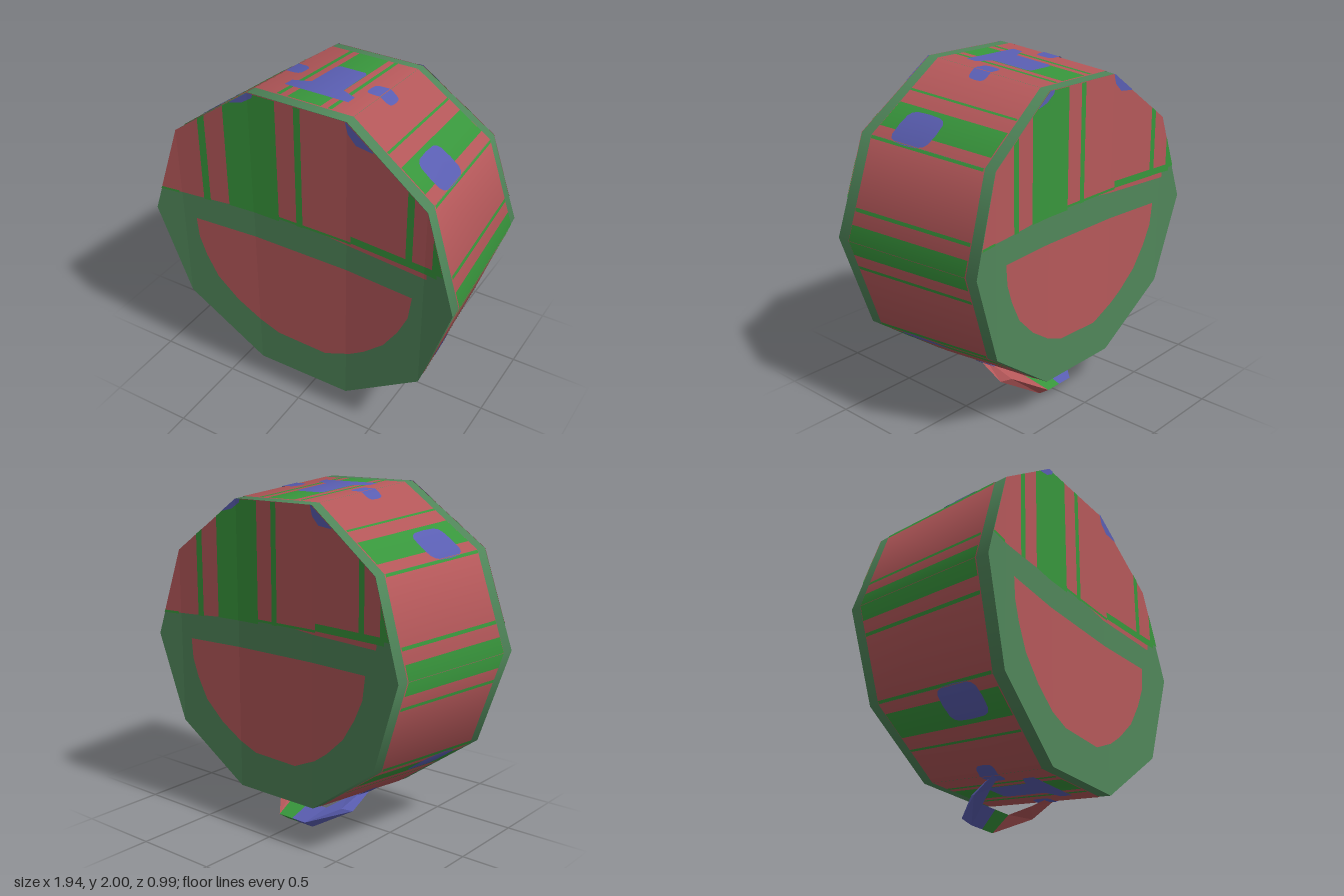
import * as THREE from 'three';
import { mergeGeometries } from 'three/addons/utils/BufferGeometryUtils.js';

const mat = (name, color) => Object.assign(new THREE.MeshStandardMaterial({ color, side: THREE.DoubleSide }), { name });
const R = 0.97, CY = 1.08, TAPER = 0.92, STEP = 0.0025;

// Keep the part of a polygon where f(p) >= 0
function clip(poly, f) {
  const out = [];
  poly.forEach((p, i) => {
    const q = poly[(i + 1) % poly.length], a = f(p), b = f(q);
    if (a >= 0) out.push(p);
    if ((a > 0 && b < 0) || (a < 0 && b > 0)) {
      const t = a / (a - b);
      out.push([p[0] + (q[0] - p[0]) * t, p[1] + (q[1] - p[1]) * t]);
    }
  });
  return out;
}
function flat(poly) {
  if (poly.length < 3) return null;
  const pts = poly.map((p) => new THREE.Vector2(p[0], p[1]));
  if (Math.abs(THREE.ShapeUtils.area(pts)) < 1e-6) return null;
  return new THREE.ShapeGeometry(new THREE.Shape(pts));
}
const rect = (x0, y0, x1, y1) => [[x0, y0], [x1, y0], [x1, y1], [x0, y1]];
const oval = (x0, y0, x1, y1) => Array.from({ length: 16 }, (_, i) => {
  const a = (i / 16) * Math.PI * 2, sq = (v) => Math.sign(v) * Math.sqrt(Math.abs(v));
  return [(x0 + x1) / 2 + ((x1 - x0) / 2) * sq(Math.cos(a)), (y0 + y1) / 2 + ((y1 - y0) / 2) * sq(Math.sin(a))];
});
const corner = (k) => [R * Math.cos((k * Math.PI) / 5), R * Math.sin((k * Math.PI) / 5)];

// The end faces are bent forward towards their left and right corners
const bends = [-0.98, corner(4)[0], corner(3)[0], corner(2)[0], corner(1)[0], 0.98];
function bendZ(x) {
  const a = Math.abs(x), b1 = corner(2)[0], b2 = corner(1)[0];
  if (a <= b1) return 0.435;
  if (a <= b2) return 0.435 + (0.033 * (a - b1)) / (b2 - b1);
  return 0.468 + (0.025 * (a - b2)) / (R - b2);
}

// Polygons in x, y laid onto an end face and trimmed to its ten sides
function capGeometry(polys, level) {
  const parts = [];
  for (const poly of polys) {
    let trimmed = poly;
    for (let k = 0; k < 10; k++) {
      const a = ((k + 0.5) * Math.PI) / 5;
      trimmed = clip(trimmed, (p) => R * Math.cos(Math.PI / 10) - p[0] * Math.cos(a) - (p[1] - CY) * Math.sin(a));
    }
    for (let s = 0; s < 5; s++) {
      const g = flat(clip(clip(trimmed, (p) => p[0] - bends[s]), (p) => bends[s + 1] - p[0]));
      if (!g) continue;
      const pos = g.attributes.position;
      for (let i = 0; i < pos.count; i++) pos.setXYZ(i, pos.getX(i), pos.getY(i) - CY, bendZ(pos.getX(i)) + level * STEP);
      g.computeVertexNormals();
      parts.push(g);
    }
  }
  return mergeGeometries(parts);
}

// Polygons in t (front to back) and u (side number) laid onto the tapered wall
function wallGeometry(polys, level) {
  const parts = [];
  for (const poly of polys) for (let k = -5; k < 5; k++) {
    const g = flat(clip(clip(poly, (p) => p[1] - k), (p) => k + 1 - p[1]));
    if (!g) continue;
    const pos = g.attributes.position, nor = g.attributes.normal, a = corner(k), b = corner(k + 1);
    const mid = ((k + 0.5) * Math.PI) / 5;
    for (let i = 0; i < pos.count; i++) {
      const t = pos.getX(i), u = pos.getY(i), f = u - k, s = 1 + (TAPER - 1) * t;
      const z = (bendZ(a[0]) * (1 - f) + bendZ(b[0]) * f) * (1 - 2 * t);
      const x = (a[0] + (b[0] - a[0]) * f) * s, y = (a[1] + (b[1] - a[1]) * f) * s;
      pos.setXYZ(i, x + Math.cos(mid) * level * STEP, y + CY + Math.sin(mid) * level * STEP, z);
      const n = new THREE.Vector3(Math.cos((u * Math.PI) / 5), Math.sin((u * Math.PI) / 5), -0.08).normalize();
      nor.setXYZ(i, n.x, n.y, n.z);
    }
    parts.push(g);
  }
  return mergeGeometries(parts);
}

// Repeat a quarter of the wall pattern around all four quarters
const quarters = (polys) => polys.flatMap((poly) =>
  [(u) => u, (u) => 5 - u, (u) => -u, (u) => u - 5].map((m) => poly.map((p) => [p[0], m(p[1])])));

export function createModel() {
  const red = mat('red', 0xb5585a), green = mat('green', 0x38963c);
  const sage = mat('sageGreen', 0x50865a), blue = mat('blue', 0x5a5eb2);
  const model = new THREE.Group();
  model.name = 'drum';
  const add = (parent, name, geometry, material) => {
    const m = new THREE.Mesh(geometry, material);
    m.name = name;
    parent.add(m);
  };

  // Wall with border, stripes and patches
  const wall = new THREE.Group();
  wall.name = 'wall';
  model.add(wall);
  const stripes = [[0, 0.155], [0.283, 0.318], [0.97, 1.0], [1.12, 1.42], [1.57, 1.595], [2.22, 2.26], [2.33, 2.5]];
  add(wall, 'wallBase', wallGeometry([rect(0, -5, 1, 5)], 0), sage);
  add(wall, 'wallField', wallGeometry([rect(0.08, -5, 0.93, 5)], 1), red);
  add(wall, 'wallStripes', wallGeometry(quarters(stripes.map(([a, b]) => rect(0.085, a, 0.925, b))), 2), green);
  add(wall, 'wallPatches', wallGeometry(quarters([
    [[0.22, 2.5], [0.22, 2.17], [0.3, 2.17], [0.35, 2.33], [0.63, 2.33], [0.66, 2.36], [0.66, 2.5]],
    oval(0.4, 1.87, 0.54, 2.15),
    oval(0.21, 0.99, 0.5, 1.37),
  ]), 3), blue);

  // End faces: the back one is the front one turned round and a little smaller
  const half = [[-0.7, 1.08], [-0.69, 0.95], [-0.65, 0.83], [-0.58, 0.69], [-0.45, 0.56], [-0.3, 0.46], [-0.17, 0.41],
    [0.16, 0.4], [0.32, 0.47], [0.42, 0.54], [0.55, 0.66], [0.64, 0.8], [0.7, 0.93], [0.72, 1.08]];
  const upper = [[-1, 1.23], [-0.7, 1.24], [-0.5, 1.25], [-0.3, 1.27], [0.1, 1.27], [0.3, 1.25], [0.8, 1.24], [0.8, 1.32], [1, 1.32], [1, 2.1], [-1, 2.1]];
  const capStripes = [rect(-0.63, 1.24, -0.585, 2), rect(-0.46, 1.25, -0.13, 2), rect(-0.015, 1.26, 0.025, 2), rect(0.67, 1.3, 0.71, 2),
    rect(0.83, 1.3, 1, 2), rect(0.33, 1.275, 0.86, 1.32), rect(-0.95, 1.23, -0.8, 1.245), rect(-0.15, 1.265, 0.33, 1.28)];
  const capBlue = [[[-0.41, 1.92], [-0.33, 1.94], [-0.27, 1.98], [-0.26, 2.01], [-0.41, 2.01]],
    [[0.29, 2.01], [0.31, 1.94], [0.36, 1.89], [0.46, 1.88], [0.46, 2.01]]];
  const front = new THREE.Group();
  front.name = 'frontFace';
  front.position.y = CY;
  add(front, 'faceBase', capGeometry([rect(-1, 0, 1, 2.1)], 0), sage);
  add(front, 'upperField', capGeometry([upper], 1), red);
  add(front, 'lowerHalfDisc', capGeometry([half], 1), red);
  add(front, 'faceStripes', capGeometry(capStripes, 2), green);
  add(front, 'facePatches', capGeometry(capBlue, 3), blue);
  const back = front.clone();
  back.name = 'backFace';
  back.rotation.y = Math.PI;
  back.scale.set(TAPER, TAPER, 1);
  model.add(front, back);

  // Slanted handle below: triangular sections of outer, back and inner edge
  const side = [
    [[0.3, 0.185, 0.05], [0.27, 0.2, 0.06], [0.24, 0.19, 0.05]],
    [[0.285, 0.1, -0.08], [0.24, 0.12, -0.13], [0.2, 0.15, -0.03]],
    [[0.1, 0, -0.23], [0.1, 0.05, -0.3], [0.13, 0.1, -0.14]],
  ];
  const flip = (s) => s.map(([x, y, z]) => [-x, y, z]);
  const middle = side[2].map(([, y, z]) => [0, y, z]);
  const stations = [...side.map(flip), middle, ...side.slice().reverse()];
  const handle = new THREE.Group();
  handle.name = 'handle';
  model.add(handle);
  [blue, blue, blue, green, red, red].forEach((material, i) => {
    const v = [], p = stations[i], q = stations[i + 1];
    for (let j = 0; j < 3; j++) {
      const n = (j + 1) % 3;
      v.push(...p[j], ...p[n], ...q[n], ...p[j], ...q[n], ...q[j]);
    }
    const g = new THREE.BufferGeometry();
    g.setAttribute('position', new THREE.Float32BufferAttribute(v, 3));
    g.computeVertexNormals();
    add(handle, 'handlePart' + (i + 1), g, material);
  });
  return model;
}
